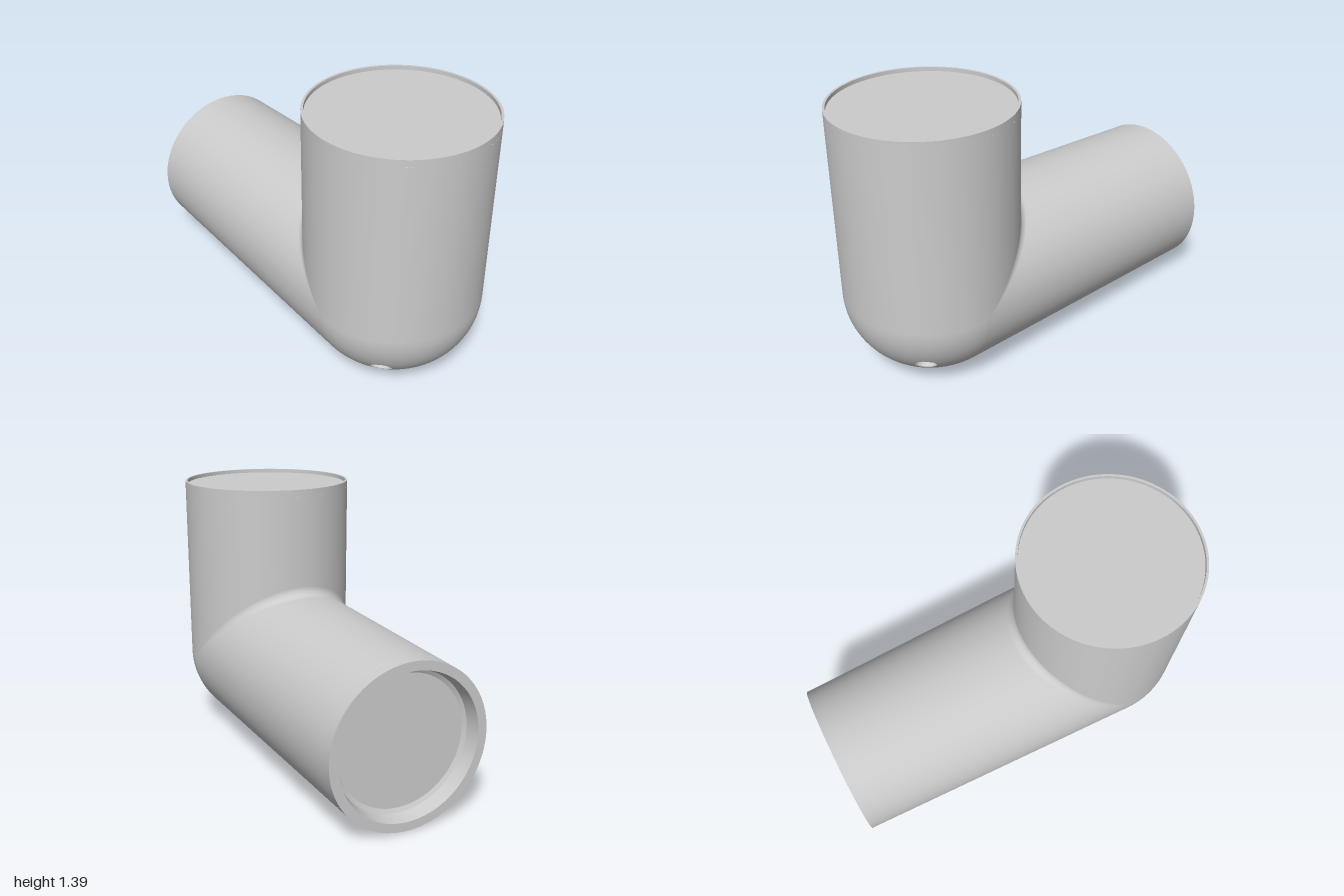
import * as THREE from 'three';
import { toCreasedNormals } from 'three/addons/utils/BufferGeometryUtils.js';

const R = 0.447, RY = 0.415, CZ = 0.553, CY = 0.415; // neck radius, pipe half height, elbow centre
const TOP = 1.36, END_Z = -0.93, END_R = 0.406, END_Y = 0.41;
const SEG = 192, N = 8, M = 40;
const ROWS = 2 * N + 3 * M;

const material = new THREE.MeshStandardMaterial({ color: 0xcccccc });
const doubleSided = new THREE.MeshStandardMaterial({ color: 0xcccccc, side: THREE.DoubleSide });

// Small drain holes in the heel cap: centre, outward normal, radius
const holes = [];
for (const s of [1, -1]) {
  holes.push({ at: new THREE.Vector3(0.273 * s, 0.183, 0.796), n: new THREE.Vector3(0.59 * s, -0.56, 0.54), r: 0.052 });
  holes.push({ at: new THREE.Vector3(0.266 * s, 0.084, 0.31), n: new THREE.Vector3(0.58 * s, -0.81, 0), r: 0.025 });
}

// One lengthwise line of the elbow, from the neck down round the bend to the pipe end
function generator(phi) {
  const u = Math.cos(phi), s = Math.sin(phi), outer = u > 0;
  const a = outer ? R * u : -0.05 * u, b = outer ? RY * u : -0.05 * u;
  const z0 = CZ + R * u, y1 = CY - RY * u;
  const midZ = z0 - a, midY = y1 + b;
  const ease = u * u * (3 - 2 * u);
  const seamY = midY + (outer ? 0.25 * ease : 0);
  const seamZ = midZ - (outer ? 0.255 * (ease + Math.sin(u * Math.PI / 2)) : 0);
  const points = [];
  const down = (y) => points.push(new THREE.Vector3(R * s, y, z0));
  const back = (z) => {
    const t = (midZ - z) / (midZ - END_Z);
    points.push(new THREE.Vector3(
      THREE.MathUtils.lerp(R, END_R, t) * s,
      THREE.MathUtils.lerp(y1, END_Y - END_R * u, t), z));
  };
  const { lerp } = THREE.MathUtils;
  for (let i = 0; i < N; i++) down(lerp(TOP, seamY, i / N));
  for (let i = 0; i < M; i++) down(lerp(seamY, midY, i / M));
  for (let i = 0; i < M; i++) {
    const q = (i / M) * Math.PI / 2;
    points.push(new THREE.Vector3(R * s, midY - b * Math.sin(q), midZ + a * Math.cos(q)));
  }
  for (let i = 0; i < M; i++) back(lerp(midZ, seamZ, i / M));
  for (let i = 0; i <= N; i++) back(lerp(seamZ, END_Z, i / N));
  return points;
}

// Skin of the elbow, split along the seam into the body and the heel cap
function elbowGeometries() {
  const W = ROWS + 1, verts = [], outerCol = [];
  for (let j = 0; j < SEG; j++) {
    const phi = ((j + 0.5) / SEG) * Math.PI * 2;
    outerCol.push(Math.cos(phi) > 0);
    verts.push(...generator(phi));
  }
  const inHole = verts.map((v) => holes.findIndex((h) => v.distanceTo(h.at) < h.r));
  const body = [], cap = [];
  for (let j = 0; j < SEG; j++) {
    const k = (j + 1) % SEG;
    for (let i = 0; i < ROWS; i++) {
      const p = j * W + i, q = k * W + i;
      const isCap = i >= N && i < N + 3 * M && outerCol[j] && outerCol[k];
      (isCap ? cap : body).push(p, p + 1, q, q, p + 1, q + 1);
    }
  }
  const whole = new THREE.BufferGeometry().setFromPoints(verts);
  whole.setIndex([...body, ...cap]);
  whole.computeVertexNormals();
  // Push points inside a hole out to its rim and drop the faces that lay within it
  const position = whole.getAttribute('position');
  verts.forEach((v, i) => {
    if (inHole[i] < 0) return;
    const h = holes[inHole[i]];
    v.sub(h.at).setLength(h.r).add(h.at);
    position.setXYZ(i, v.x, v.y, v.z);
  });
  const open = [];
  for (let i = 0; i < cap.length; i += 3) {
    const t = cap.slice(i, i + 3);
    if (!t.every((n) => inHole[n] >= 0)) open.push(...t);
  }
  return [body, open].map((index) => {
    const g = new THREE.BufferGeometry();
    g.setAttribute('position', position);
    g.setAttribute('normal', whole.getAttribute('normal'));
    g.setIndex(index);
    return g;
  });
}

function lathe(profile, segments = 96) {
  const g = new THREE.LatheGeometry(profile.map(([x, y]) => new THREE.Vector2(x, y)), segments);
  return toCreasedNormals(g, 0.4);
}

export function createModel() {
  const group = new THREE.Group();
  const add = (name, geometry, mat = material) => {
    const mesh = new THREE.Mesh(geometry, mat);
    mesh.name = name;
    group.add(mesh);
    return mesh;
  };

  const [body, cap] = elbowGeometries();
  add('elbowBody', body);
  add('heelCap', cap);

  // Neck rim with a shallow recessed lid
  add('neckRim', lathe([[R, TOP], [R, 1.395], [0.435, 1.395], [0.435, 1.375], [0, 1.375]]))
    .position.z = CZ;

  // Collar at the pipe end with a deeper recessed floor
  const collar = add('pipeCollar', lathe([
    [END_R, -END_Z], [0.405, 0.975], [0.405, 1], [0.36, 1], [0.345, 0.93], [0.325, 0.92], [0, 0.92],
  ]));
  collar.rotation.x = -Math.PI / 2;
  collar.position.y = END_Y;

  // Blind bores behind the holes
  const up = new THREE.Vector3(0, 1, 0);
  for (const { at, n, r } of holes) {
    const bore = add('drainHole', lathe([[0, -0.06], [r, -0.06], [r, -r * r / (2 * R)]], 32), doubleSided);
    bore.position.copy(at);
    bore.quaternion.setFromUnitVectors(up, n.clone().normalize());
  }
  return group;
}
